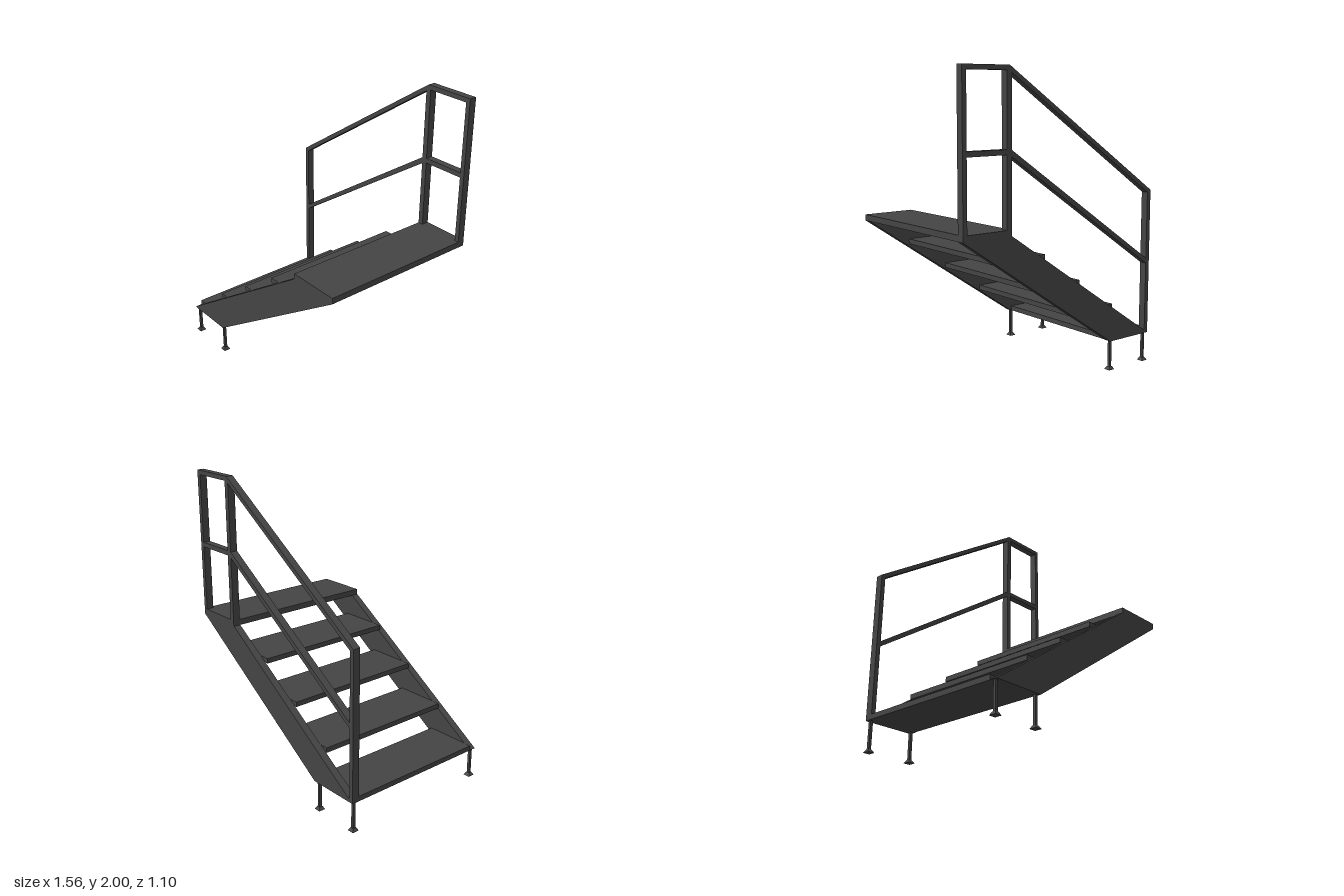
import * as THREE from 'three';

export function createModel() {
  const model = new THREE.Group();
  const material = new THREE.MeshStandardMaterial({ color: 0x444444, flatShading: true });

  const add = (name, geometry) => {
    const mesh = new THREE.Mesh(geometry, material);
    mesh.name = name;
    model.add(mesh);
    return mesh;
  };

  // Box given by its limits on each axis
  const box = (name, x0, x1, y0, y1, z0, z1) =>
    add(name, new THREE.BoxGeometry(x1 - x0, y1 - y0, z1 - z0))
      .position.set((x0 + x1) / 2, (y0 + y1) / 2, (z0 + z1) / 2);

  // Side profile in x and y, extruded along z
  const plate = (name, points, z0, z1) => {
    const shape = new THREE.Shape(points.map(([x, y]) => new THREE.Vector2(x, y)));
    add(name, new THREE.ExtrudeGeometry(shape, { depth: z1 - z0, bevelEnabled: false })).position.z = z0;
  };

  // Sloping side stringers
  const stringer = [[-0.78, 0.2], [-0.42, 0.2], [0.78, 1.0], [0.42, 1.0]];
  plate('leftStringer', stringer, 0.5, 0.55);
  plate('rightStringer', stringer, -0.55, -0.5);

  // Treads between the stringers
  for (let i = 0; i < 4; i++) {
    const x = -0.78 + i * 0.3, y = 0.2 + i * 0.205;
    box('tread', x, x + 0.355, y, y + 0.034, -0.5, 0.5);
  }
  // Top landing covers both stringers
  box('landing', 0.425, 0.78, 1.0, 1.04, -0.55, 0.55);

  // Railing posts
  const back = -0.55, front = -0.5;
  box('lowerPost', -0.78, -0.75, 0.2, 1.19, back, front);
  box('middlePost', 0.425, 0.46, 1.04, 1.985, back, front);
  box('upperPost', 0.75, 0.78, 1.04, 2, back, front);

  // Handrail and midrail, each a sloping length and a level length
  plate('handrail', [[-0.78, 1.155], [0.445, 1.97], [0.78, 1.97], [0.78, 2], [0.44, 2], [-0.78, 1.19]], back, front);
  plate('midrail', [[-0.765, 0.68], [0.43, 1.475], [0.43, 1.515], [-0.765, 0.715]], back, front);
  box('levelMidrail', 0.45, 0.76, 1.483, 1.515, back, front);

  // Levelling feet: thin rod on a flared square base
  for (const x of [-0.76, -0.44]) {
    for (const z of [-0.525, 0.525]) {
      box('footRod', x - 0.009, x + 0.009, 0.015, 0.2, z - 0.009, z + 0.009);
      const base = add('footBase', new THREE.CylinderGeometry(0.017, 0.034, 0.02, 4));
      base.rotation.y = Math.PI / 4;
      base.position.set(x, 0.01, z);
    }
  }
  return model;
}
